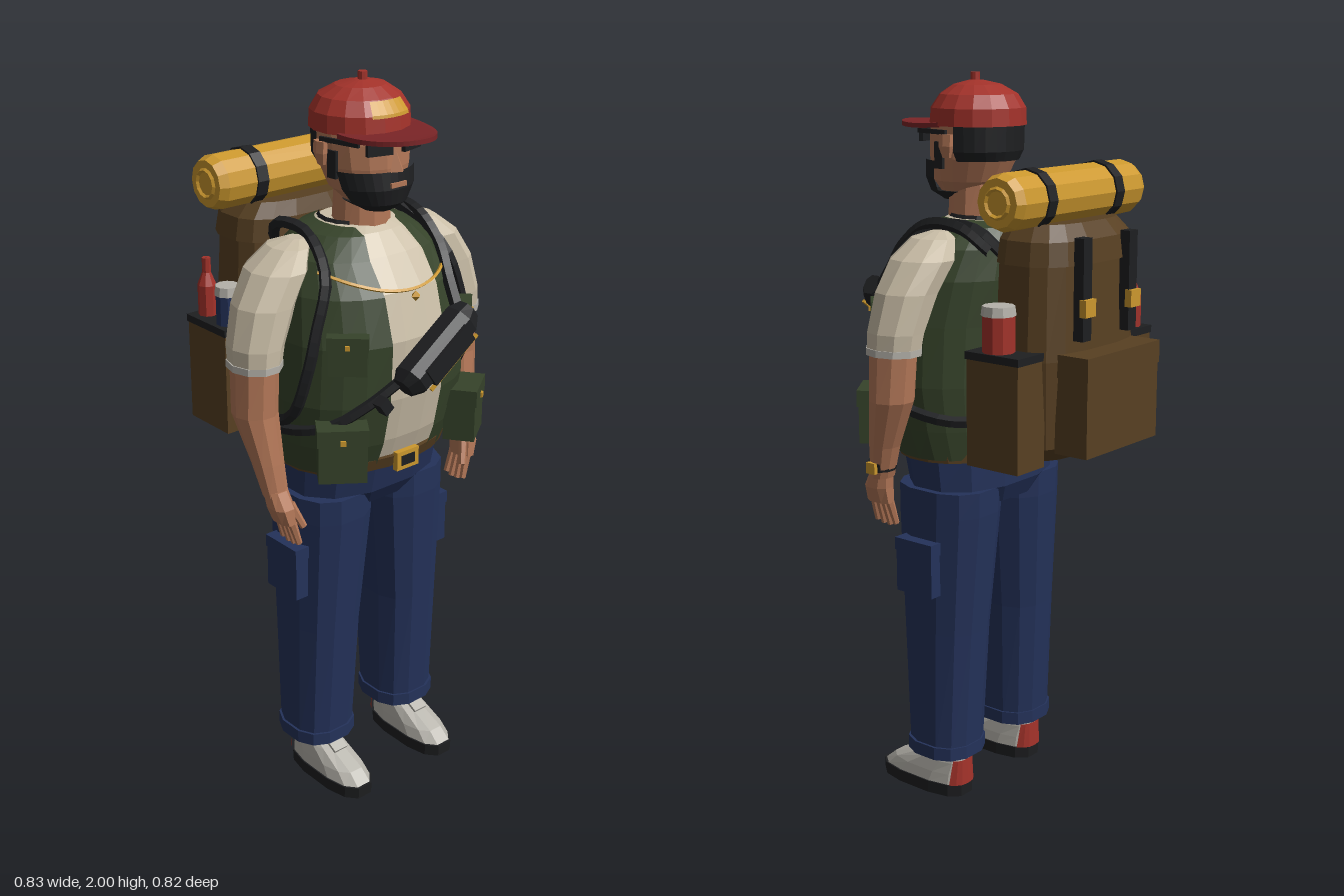
import * as THREE from 'three';

const mat = (name, color) => Object.assign(new THREE.MeshStandardMaterial({ color }), { name });

const M = {
  red: mat('cap red', 0xa3322a), darkRed: mat('brim dark red', 0x7c2527),
  yellow: mat('mustard yellow', 0xcc982e), olive: mat('olive green', 0x36432a),
  beige: mat('shirt beige', 0xcbbfa8), skin: mat('skin', 0xb47858),
  navy: mat('denim navy', 0x24325a), black: mat('black', 0x1e1f21),
  brown: mat('canvas brown', 0x584022), grey: mat('light grey', 0xb5b2aa),
};

// Loft through horizontal rings [y, halfWidth, zFront, zBack, centreX], listed upwards.
// p < 1 squares the section; arc(ring) gives start and end angles, measured from +z towards +x.
function loft(rings, { n = 12, p = 1, arc = null } = {}) {
  const pos = [], idx = [];
  const pow = v => Math.sign(v) * Math.abs(v) ** p;
  for (const r of rings) {
    const [y, rx, zf, zb, cx = 0] = r;
    const [a0, a1] = arc ? arc(r) : [Math.PI / n, Math.PI / n + 2 * Math.PI];
    for (let i = 0; i <= n; i++) {
      const a = a0 + (a1 - a0) * i / n;
      pos.push(cx + rx * pow(Math.sin(a)), y, (zf + zb) / 2 + (zf - zb) / 2 * pow(Math.cos(a)));
    }
  }
  const w = n + 1, last = (rings.length - 1) * w;
  for (let j = 0; j < rings.length - 1; j++) for (let i = 0; i < n; i++) {
    const a = j * w + i;
    idx.push(a, a + 1, a + w + 1, a, a + w + 1, a + w);
  }
  if (!arc) for (let i = 1; i < n - 1; i++) idx.push(0, i + 1, i, last, last + i, last + i + 1);
  const g = new THREE.BufferGeometry();
  g.setAttribute('position', new THREE.Float32BufferAttribute(pos, 3));
  g.setIndex(idx);
  return g;
}

const box = (w, h, d) => new THREE.BoxGeometry(w, h, d);
const cyl = (r0, r1, h, n = 10) => new THREE.CylinderGeometry(r0, r1, h, n);
const tube = (pts, r, sides = 5, seg = 24) => new THREE.TubeGeometry(
  new THREE.CatmullRomCurve3(pts.map(q => new THREE.Vector3(...q))), seg, r, sides);

// Adds a flat-shaded mesh
function add(parent, name, geo, material, at = [0, 0, 0], rot = [0, 0, 0]) {
  const g = geo.index ? geo.toNonIndexed() : geo;
  g.computeVertexNormals();
  const m = new THREE.Mesh(g, material);
  m.name = name;
  m.position.set(...at);
  m.rotation.set(...rot);
  parent.add(m);
  return m;
}

function group(parent, name) {
  const g = new THREE.Group();
  g.name = name;
  parent.add(g);
  return g;
}

// Outer torso rings, shared by vest, shirt and everything lying on the chest
const P = 0.9;
const TORSO = [
  [1.00, .25, .25, -.09], [1.08, .268, .28, -.095], [1.20, .28, .305, -.10], [1.36, .272, .312, -.105],
  [1.48, .25, .28, -.115], [1.56, .215, .225, -.11], [1.61, .15, .18, -.08], [1.625, .10, .155, -.05],
];
function chestZ(x, y) {
  let k = 0;
  while (k < TORSO.length - 2 && TORSO[k + 1][0] < y) k++;
  const t = (y - TORSO[k][0]) / (TORSO[k + 1][0] - TORSO[k][0]);
  const [, rx, zf, zb] = TORSO[k].map((v, i) => v + (TORSO[k + 1][i] - v) * t);
  const u = Math.min(1, Math.abs(x) / rx) ** (2 / P);
  return (zf + zb) / 2 + (zf - zb) / 2 * (1 - u) ** (P / 2);
}
const onChest = (x, y, off = .005) => [x, y, chestZ(x, y) + off];

function buildLegs(root) {
  const g = group(root, 'legs');
  add(g, 'trouserSeat', loft([[.86, .17, .18, -.06], [.91, .232, .215, -.085], [1.02, .238, .24, -.088]], { p: .85 }), M.navy);
  for (const s of [1, -1]) {
    add(g, 'trouserLeg', loft([[.14, .093, .165, -.03, .152 * s], [.5, .1, .185, -.05, .145 * s],
      [.84, .118, .205, -.073, .13 * s], [.91, .118, .205, -.075, .13 * s]], { p: .8 }), M.navy);
    add(g, 'trouserHem', loft([[.128, .1, .172, -.035, .152 * s], [.165, .1, .172, -.035, .152 * s]], { p: .8 }), M.navy);
    add(g, 'cargoPocket', box(.04, .15, .125), M.navy, [.255 * s, .695, .075]);
    add(g, 'cargoFlap', box(.046, .035, .13), M.navy, [.255 * s, .755, .075]);
    const f = group(g, 'shoe'), x = .155 * s;
    add(f, 'sole', loft([[0, .064, .29, -.01, x], [.035, .065, .292, -.012, x]], { p: .75 }), M.black);
    add(f, 'shoeUpper', loft([[.035, .061, .285, -.008, x], [.065, .057, .25, -.006, x],
      [.1, .05, .17, -.004, x], [.125, .042, .11, 0, x]], { p: .75 }), M.grey);
    add(f, 'shoeTongue', box(.045, .008, .07), M.grey, [x, .116, .15], [.48, 0, 0]);
    add(f, 'heelPatch', loft([[.036, .066, .285, -.014, x], [.11, .054, .17, -.01, x]],
      { n: 6, p: .75, arc: () => [Math.PI - .75, Math.PI + .75] }), M.red);
    add(f, 'sock', loft([[.09, .04, .125, .008, x], [.16, .04, .125, .008, x]]), M.red);
  }
}

function buildTorso(root) {
  const g = group(root, 'torso');
  add(g, 'shirt', loft(TORSO.map(([y, rx, f, b]) => [y + .002, rx - .012, f - .01, b + .012]), { n: 24, p: P }), M.beige);
  // Open vest: each ring leaves a gap in front
  const gap = ([y, rx]) => {
    const a = Math.asin(((y > 1.57 ? .068 : .088) / rx) ** (1 / P));
    return [a, 2 * Math.PI - a];
  };
  add(g, 'vest', loft(TORSO, { n: 22, p: P, arc: gap }), M.olive);
  add(g, 'collar', loft([[1.605, .105, .17, -.065], [1.635, .088, .14, -.045]], { n: 12, arc: () => [.85, 2 * Math.PI - .85] }), M.black);
  add(g, 'belt', loft([[.992, .246, .25, -.094], [1.026, .252, .262, -.094]], { n: 20, p: P }), M.brown);
  add(g, 'buckle', box(.076, .052, .016), M.yellow, [0, 1.01, .264]);
  add(g, 'buckleCentre', box(.046, .028, .008), M.black, [0, 1.01, .27]);
  for (const s of [1, -1]) {
    const low = group(g, 'lowerPocket');
    low.position.set(.215 * s, 1.09, .255);
    low.rotation.y = .62 * s;
    add(low, 'pocket', box(.125, .14, .085), M.olive);
    add(low, 'pocketFlap', box(.132, .045, .094), M.olive, [0, .055, 0]);
    add(low, 'pocketButton', box(.014, .014, .008), M.yellow, [0, .045, .049]);
    const up = group(g, 'chestPocket');
    up.position.set(.2 * s, 1.35, chestZ(.2, 1.35) + .005);
    up.rotation.y = .75 * s;
    add(up, 'pocket', box(.1, .1, .03), M.olive);
    add(up, 'pocketFlap', box(.106, .034, .038), M.olive, [0, .036, 0]);
    add(up, 'pocketButton', box(.012, .012, .008), M.yellow, [0, .028, .021]);
    // Backpack strap: over the shoulder, down the chest and back under the arm
    add(g, 'shoulderStrap', tube([[.13 * s, 1.55, -.12], [.165 * s, 1.612, -.06], [.165 * s, 1.615, .06],
      onChest(.2 * s, 1.53, .012), onChest(.247 * s, 1.4, .012), [.272 * s, 1.3, .19],
      [.285 * s, 1.17, .14], [.26 * s, 1.12, -.02], [.18 * s, 1.12, -.12]], .016, 5, 30), M.black);
  }
  add(g, 'chain', tube([-.205, -.15, -.08, 0, .08, .15, .205].map(x => onChest(x, 1.487 + 1.25 * x * x)), .005, 4), M.yellow);
  add(g, 'pendant', new THREE.OctahedronGeometry(.014), M.yellow, onChest(0, 1.47, .006));
}

function buildSling(root) {
  const g = group(root, 'slingBag');
  const bag = group(g, 'bag');
  bag.position.set(.012, 1.345, .355);
  bag.rotation.z = .62;
  const body = loft([[-.135, .03, .028, -.028], [-.105, .046, .05, -.045], [.1, .046, .05, -.045], [.135, .03, .028, -.028]], { n: 8, p: .8 });
  add(bag, 'bagBody', body.rotateZ(-Math.PI / 2), M.black);
  add(bag, 'bagPocket', box(.16, .055, .02), M.black, [0, -.004, .045]);
  add(bag, 'bagZip', box(.19, .008, .008), M.yellow, [0, -.036, .044]);
  add(bag, 'bagClip', box(.03, .04, .03), M.black, [-.2, 0, -.015]);
  add(g, 'slingStrapUpper', tube([[.1, 1.41, .345], onChest(.135, 1.48, .012), onChest(.165, 1.55, .014),
    [.175, 1.615, .1], [.18, 1.615, -.02], [.16, 1.56, -.1]], .017), M.black);
  add(g, 'slingStrapLower', tube([[-.08, 1.28, .335], onChest(-.16, 1.21, .012), onChest(-.235, 1.15, .01),
    [-.28, 1.12, .1], [-.23, 1.12, -.05], [-.12, 1.14, -.105]], .015), M.black);
}

function buildArms(root) {
  for (const s of [1, -1]) {
    const g = group(root, s > 0 ? 'leftArm' : 'rightArm');
    add(g, 'sleeve', loft([[1.31, .066, .145, -.008, .345 * s], [1.36, .071, .147, -.015, .34 * s], [1.46, .08, .145, -.03, .305 * s],
      [1.54, .078, .14, -.045, .255 * s], [1.59, .05, .11, -.02, .215 * s], [1.605, .02, .07, .02, .19 * s]], { n: 10 }), M.beige);
    add(g, 'sleeveHem', loft([[1.302, .069, .148, -.011, .346 * s], [1.32, .069, .148, -.011, .345 * s]], { n: 10 }), M.grey);
    add(g, 'forearm', loft([[.96, .036, .158, .1, .333 * s], [1.05, .044, .15, .07, .342 * s],
      [1.18, .06, .135, .012, .352 * s], [1.31, .06, .137, .002, .347 * s]], { n: 10 }), M.skin);
    const h = group(g, 'hand');
    add(h, 'palm', loft([[.885, .022, .188, .108, .322 * s], [.93, .032, .185, .105, .33 * s], [.975, .03, .16, .1, .334 * s]], { n: 8, p: .75 }), M.skin);
    for (let i = 0; i < 4; i++)
      add(h, 'finger', cyl(.012, .009, .085 - .012 * Math.abs(i - 1.4), 6), M.skin, [.307 * s, .855, .118 + i * .02], [-.05 * (i - 1.5), 0, -.28 * s]);
    add(h, 'thumb', cyl(.013, .01, .075, 6), M.skin, [.3 * s, .905, .175], [-.35, 0, -.35 * s]);
    if (s > 0) {
      add(h, 'watchBand', loft([[.98, .041, .164, .092, .335], [1.005, .043, .164, .088, .337]], { n: 10 }), M.black);
      add(h, 'watchFace', box(.012, .03, .03), M.yellow, [.378, .992, .126]);
    }
  }
}

function buildHead(root) {
  const g = group(root, 'head');
  add(g, 'neck', loft([[1.59, .078, .155, .0], [1.74, .066, .15, .005]]), M.skin);
  add(g, 'face', loft([[1.685, .065, .175, .05], [1.72, .098, .198, .0], [1.78, .116, .204, -.03],
    [1.84, .122, .202, -.04], [1.89, .122, .195, -.045]], { n: 16 }), M.skin);
  add(g, 'beard', loft([[1.672, .045, .19, .09], [1.69, .085, .212, .03], [1.73, .113, .22, -.005], [1.775, .122, .214, -.025]],
    { n: 14, arc: ([y]) => [-1.35, 1.35] }), M.black);
  add(g, 'beardUnderside', loft([[1.666, .04, .18, .09], [1.692, .082, .205, .04]], { n: 12 }), M.black);
  add(g, 'lips', box(.05, .012, .008), M.skin, [0, 1.742, .218]);
  add(g, 'hair', loft([[1.775, .11, .19, -.04], [1.80, .126, .2, -.05], [1.88, .128, .2, -.052]],
    { n: 12, arc: () => [1.75, 2 * Math.PI - 1.75] }), M.black);
  add(g, 'nose', new THREE.ConeGeometry(.022, .06, 4), M.skin, [0, 1.803, .207], [-.15, 0, 0]);
  add(g, 'glassesBridge', box(.05, .01, .012), M.black, [0, 1.852, .212]);
  for (const s of [1, -1]) {
    add(g, 'sideburn', box(.009, .07, .03), M.black, [.118 * s, 1.79, .105], [0, -.1 * s, 0]);
    add(g, 'lens', box(.07, .04, .012), M.black, [.052 * s, 1.84, .205], [0, .25 * s, 0]);
    add(g, 'glassesArm', box(.008, .012, .12), M.black, [.117 * s, 1.85, .13], [0, -.22 * s, 0]);
    add(g, 'ear', loft([[1.785, .009, .085, .06, .126 * s], [1.815, .014, .095, .05, .13 * s], [1.845, .012, .095, .05, .13 * s]], { n: 6 }), M.skin);
  }
  const cap = group(g, 'cap');
  const crown = [[1.865, .131, .2, -.058], [1.91, .129, .195, -.056], [1.945, .107, .17, -.035], [1.969, .068, .135, .01], [1.98, .02, .095, .06]];
  add(cap, 'crown', loft(crown, { n: 16 }), M.red);
  add(cap, 'capButton', cyl(.012, .012, .024, 8), M.red, [0, 1.988, .08]);
  add(cap, 'capPatch', loft([[1.906, .133, .2, -.056], [1.914, .131, .198, -.055], [1.944, .112, .175, -.035]],
    { n: 6, arc: () => [-.46, .46] }), M.yellow);
  // Brim: half ellipse, bent down at the sides and the front
  const shape = new THREE.Shape();
  shape.moveTo(-.125, 0);
  shape.absellipse(0, .03, .125, .18, Math.PI, 0, true);
  shape.lineTo(.125, 0);
  const brim = new THREE.ExtrudeGeometry(shape, { depth: .012, bevelEnabled: false, curveSegments: 14 }).rotateX(Math.PI / 2);
  const b = brim.attributes.position;
  for (let i = 0; i < b.count; i++) b.setY(i, b.getY(i) - .9 * b.getX(i) ** 2 - .07 * b.getZ(i));
  add(cap, 'brim', brim, M.darkRed, [0, 1.888, .1]);
}

function buildPack(root) {
  const g = group(root, 'backpack');
  add(g, 'packBody', loft([[1.03, .165, -.125, -.3], [1.07, .2, -.105, -.335], [1.3, .215, -.1, -.345], [1.56, .2, -.105, -.335]], { n: 16, p: .7 }), M.brown);
  add(g, 'packLid', loft([[1.54, .21, -.1, -.348], [1.6, .2, -.105, -.34], [1.64, .165, -.12, -.31]], { n: 16, p: .7 }), M.brown);
  add(g, 'backPocket', box(.316, .25, .1), M.brown, [0, 1.185, -.36]);
  add(g, 'backPocketFlap', box(.322, .06, .106), M.brown, [0, 1.29, -.36]);
  for (const s of [1, -1]) {
    add(g, 'lidStrap', box(.036, .26, .03), M.black, [.1 * s, 1.48, -.35]);
    add(g, 'strapBuckle', box(.044, .045, .02), M.yellow, [.1 * s, 1.435, -.366]);
    add(g, 'sidePocket', box(.11, .29, .165), M.brown, [.237 * s, 1.172, -.212]);
    add(g, 'sidePocketRim', box(.118, .02, .172), M.black, [.236 * s, 1.316, -.212]);
  }
  // Drinks in the side pockets
  add(g, 'flask', cyl(.042, .042, .11), M.red, [.25, 1.37, -.2]);
  add(g, 'flaskLid', cyl(.042, .045, .025), M.grey, [.25, 1.432, -.2]);
  add(g, 'mug', cyl(.033, .033, .09), M.navy, [-.25, 1.365, -.17]);
  add(g, 'mugLid', cyl(.033, .036, .025), M.grey, [-.25, 1.42, -.17]);
  const bottle = [[.026, 0], [.026, .09], [.012, .125], [.012, .165], [.001, .165]].map(q => new THREE.Vector2(...q));
  add(g, 'bottle', new THREE.LatheGeometry(bottle, 8), M.red, [-.25, 1.32, -.262]);
  // Bedroll
  const roll = group(g, 'bedroll');
  roll.position.set(0, 1.7, -.215);
  roll.rotation.z = Math.PI / 2;
  add(roll, 'mat', cyl(.073, .073, .5, 12), M.yellow);
  for (const s of [1, -1]) {
    add(roll, 'matEnd', cyl(s > 0 ? .062 : .073, s > 0 ? .073 : .062, .025, 12), M.yellow, [0, .2625 * s, 0]);
    add(roll, 'matSpiral', new THREE.TorusGeometry(.036, .006, 4, 12), M.yellow, [0, .275 * s, 0], [Math.PI / 2, 0, 0]);
    add(roll, 'matStrap', cyl(.078, .078, .034, 12), M.black, [0, .145 * s, 0]);
  }
}

export function createModel() {
  const root = new THREE.Group();
  root.name = 'hiker';
  for (const build of [buildLegs, buildTorso, buildSling, buildArms, buildHead, buildPack]) build(root);
  return root;
}
